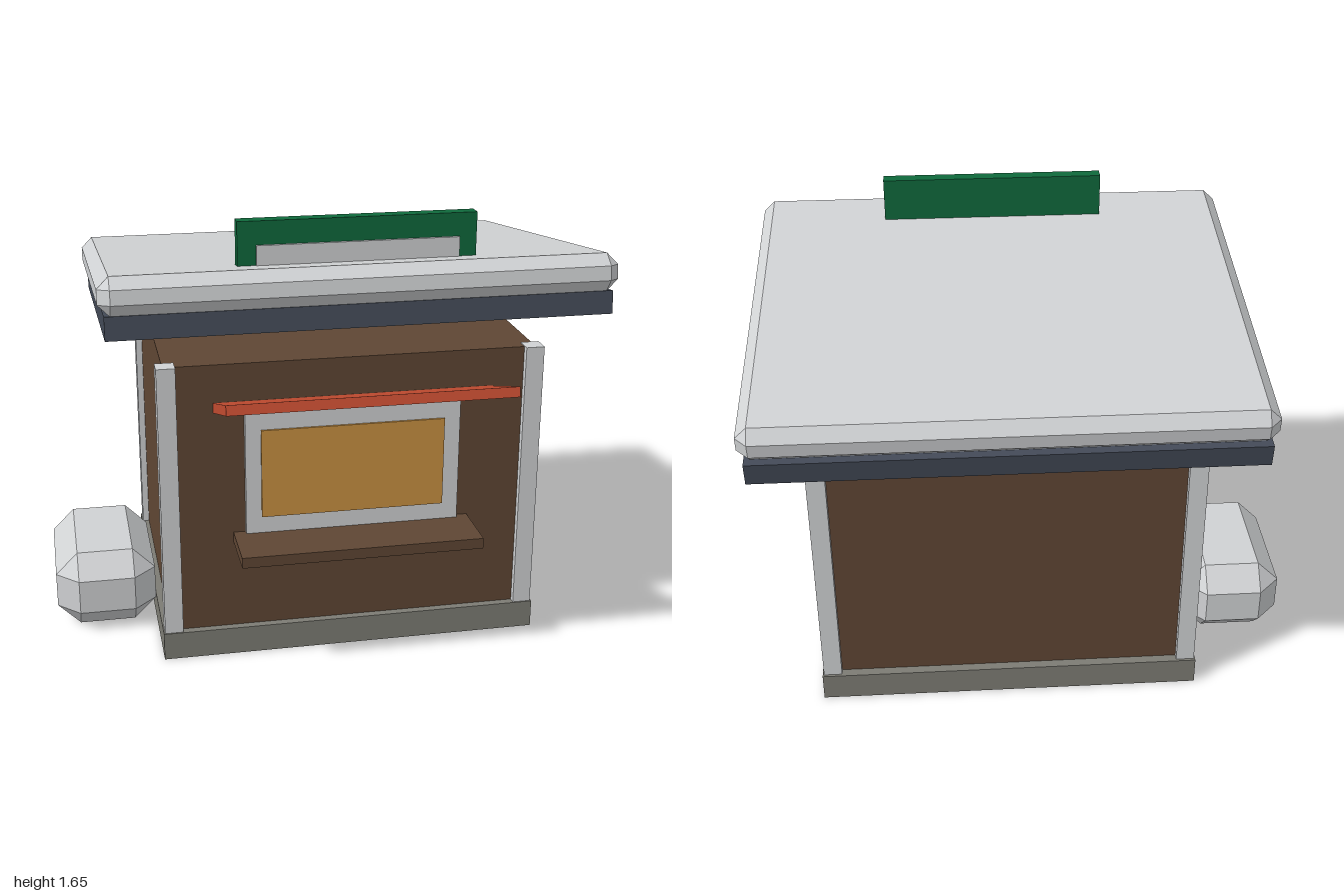
import * as THREE from 'three';
import { ConvexGeometry } from 'three/addons/geometries/ConvexGeometry.js';

const material = (name, color) => {
  const m = new THREE.MeshStandardMaterial({ color });
  m.name = name;
  return m;
};

// Box with every edge cut by a flat bevel, centred on the origin
function chamferBox(w, h, d, c) {
  const points = [];
  for (const sx of [-1, 1]) for (const sy of [-1, 1]) for (const sz of [-1, 1]) {
    for (let axis = 0; axis < 3; axis++) {
      const inset = [c, c, c];
      inset[axis] = 0;
      points.push(new THREE.Vector3(
        sx * (w / 2 - inset[0]), sy * (h / 2 - inset[1]), sz * (d / 2 - inset[2])));
    }
  }
  return new ConvexGeometry(points);
}

export function createModel() {
  const model = new THREE.Group();
  model.name = 'kiosk';

  const lightGrey = material('light grey', 0xd0d2d4);
  const brown = material('brown wood', 0x5f4634);
  const stone = material('stone grey', 0x7d7c74);
  const slate = material('slate', 0x434a57);
  const red = material('awning red', 0xc24b30);
  const green = material('sign green', 0x0f693c);
  const amber = material('window amber', 0xca9141);

  const add = (name, geometry, mat, x = 0, y = 0, z = 0, tilt = 0) => {
    const mesh = new THREE.Mesh(geometry, mat);
    mesh.name = name;
    mesh.position.set(x, y, z);
    mesh.rotation.x = tilt;
    model.add(mesh);
    return mesh;
  };
  // Box given by its extents
  const block = (name, mat, [x0, x1], [y0, y1], [z0, z1]) =>
    add(name, new THREE.BoxGeometry(x1 - x0, y1 - y0, z1 - z0), mat,
      (x0 + x1) / 2, (y0 + y1) / 2, (z0 + z1) / 2);

  // Body
  block('base', stone, [-0.62, 0.803], [0, 0.105], [-0.62, 0.475]);
  block('walls', brown, [-0.59, 0.772], [0.105, 1.135], [-0.585, 0.445]);
  for (const x of [-0.615, 0.73]) {
    for (const z of [-0.61, 0.402]) {
      block('cornerPost', lightGrey, [x, x + 0.068], [0.105, 1.138], [z, z + 0.068]);
    }
  }

  // Serving window with sill and raised awning
  block('windowFrame', lightGrey, [-0.305, 0.49], [0.48, 0.955], [0.44, 0.467]);
  block('windowPane', amber, [-0.248, 0.43], [0.55, 0.887], [0.466, 0.475]);
  block('windowSill', brown, [-0.35, 0.535], [0.445, 0.485], [0.44, 0.665]);
  add('awning', new THREE.BoxGeometry(1.01, 0.036, 0.38), red, 0.09, 1.034, 0.623, -0.325);

  // Door on the left side
  block('doorFrame', lightGrey, [0.765, 0.794], [0.13, 1.01], [-0.385, -0.006]);
  block('door', brown, [0.793, 0.802], [0.13, 0.927], [-0.347, -0.05]);

  // Sloping roof
  const slope = -0.14;
  add('roofDeck', new THREE.BoxGeometry(1.765, 0.082, 1.433), slate, 0.092, 1.245, -0.071, slope);
  add('roofCover', chamferBox(1.805, 0.135, 1.477, 0.042), lightGrey, 0.092, 1.352, -0.072, slope);

  // Sign on the roof
  block('signBoard', green, [-0.328, 0.512], [1.46, 1.655], [0.452, 0.502]);
  block('signPanel', lightGrey, [-0.263, 0.45], [1.46, 1.572], [0.5, 0.512]);

  // Bevelled tank beside the right wall
  add('tank', chamferBox(0.38, 0.3, 0.585, 0.084), lightGrey, -0.81, 0.15, -0.077);

  return model;
}
